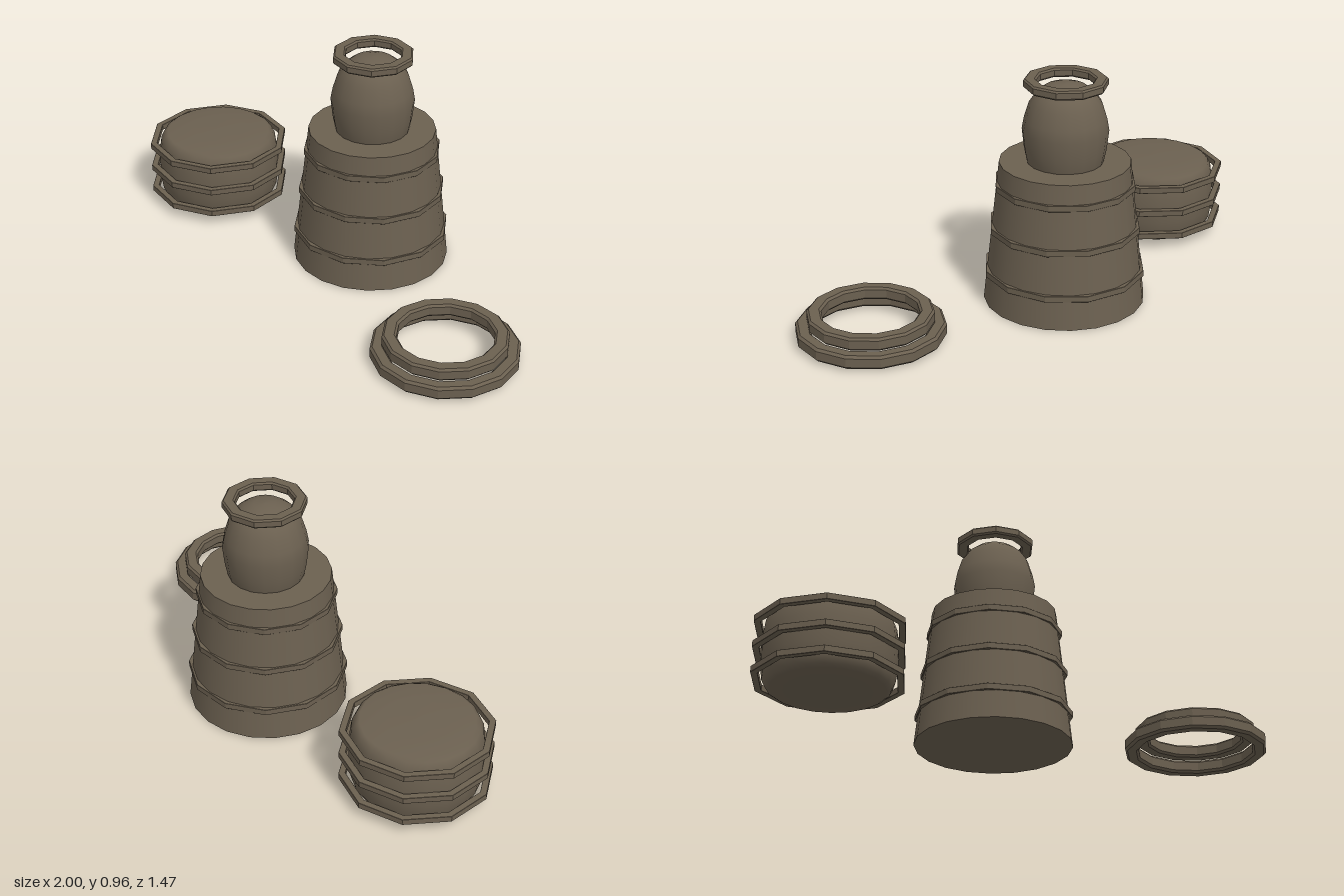
import * as THREE from 'three';

export function createModel() {
  const root = new THREE.Group();
  root.name = 'containers';
  const stone = new THREE.MeshStandardMaterial({ color: 0x6b6050 });
  stone.name = 'dull brown';

  const add = (parent, name, geometry) => {
    const mesh = new THREE.Mesh(geometry, stone);
    mesh.name = name;
    parent.add(mesh);
    return mesh;
  };
  const group = (name, x, z) => {
    const g = new THREE.Group();
    g.name = name;
    g.position.set(x, 0, z);
    root.add(g);
    return g;
  };
  // Revolve a profile of [radius, height] pairs, with a corner on +x
  const lathe = (profile, sides) => new THREE.LatheGeometry(
    profile.map(([r, y]) => new THREE.Vector2(r, y)), sides, Math.PI / 2);
  // Faceted closed band with chamfered corners
  const ring = (inner, outer, y0, y1, sides, c = 0.004) => {
    const g = lathe([
      [inner + c, y0], [outer - c, y0], [outer, y0 + c], [outer, y1 - c],
      [outer - c, y1], [inner + c, y1], [inner, y1 - c], [inner, y0 + c], [inner + c, y0],
    ], sides).toNonIndexed();
    g.computeVertexNormals();
    return g;
  };

  // Tapered tub with three bands whose corners break through the wall
  const tub = group('tub', 0.135, -0.22);
  add(tub, 'tubBody', new THREE.CylinderGeometry(0.27, 0.335, 0.605, 20)).position.y = 0.3025;
  for (const [y, r] of [[0.135, 0.335], [0.325, 0.314], [0.51, 0.292]]) {
    add(tub, 'tubBand', ring(r - 0.03, r, y - 0.013, y + 0.013, 12, 0.001));
  }

  // Domed jar with a collar ring
  const jar = group('jar', 0.135, -0.22);
  add(jar, 'jarBody', lathe([
    [0, 0.59], [0.15, 0.59], [0.158, 0.61], [0.168, 0.66], [0.177, 0.74],
    [0.168, 0.79], [0.148, 0.855], [0.12, 0.895], [0.085, 0.922], [0.045, 0.935], [0, 0.938],
  ], 18));
  add(jar, 'jarCollar', ring(0.12, 0.172, 0.92, 0.958, 10, 0.007));

  // Round cask with three loose hoops
  const cask = group('cask', -0.69, -0.44);
  add(cask, 'caskBody', lathe([
    [0, 0.004], [0.12, 0.007], [0.23, 0.014], [0.248, 0.026], [0.262, 0.055], [0.27, 0.11],
    [0.272, 0.168], [0.27, 0.225], [0.262, 0.28], [0.248, 0.309], [0.23, 0.321],
    [0.12, 0.328], [0, 0.33],
  ], 20));
  for (const y of [0.06, 0.168, 0.278]) {
    add(cask, 'caskHoop', ring(0.283, 0.311, y - 0.013, y + 0.013, 10, 0.001));
  }

  // Two stacked open rings
  const stack = group('ringStack', 0.696, 0.438);
  add(stack, 'lowerRing', ring(0.245, 0.303, 0.01, 0.067, 14, 0.01));
  add(stack, 'upperRing', ring(0.197, 0.256, 0.066, 0.12, 14, 0.009));

  return root;
}
